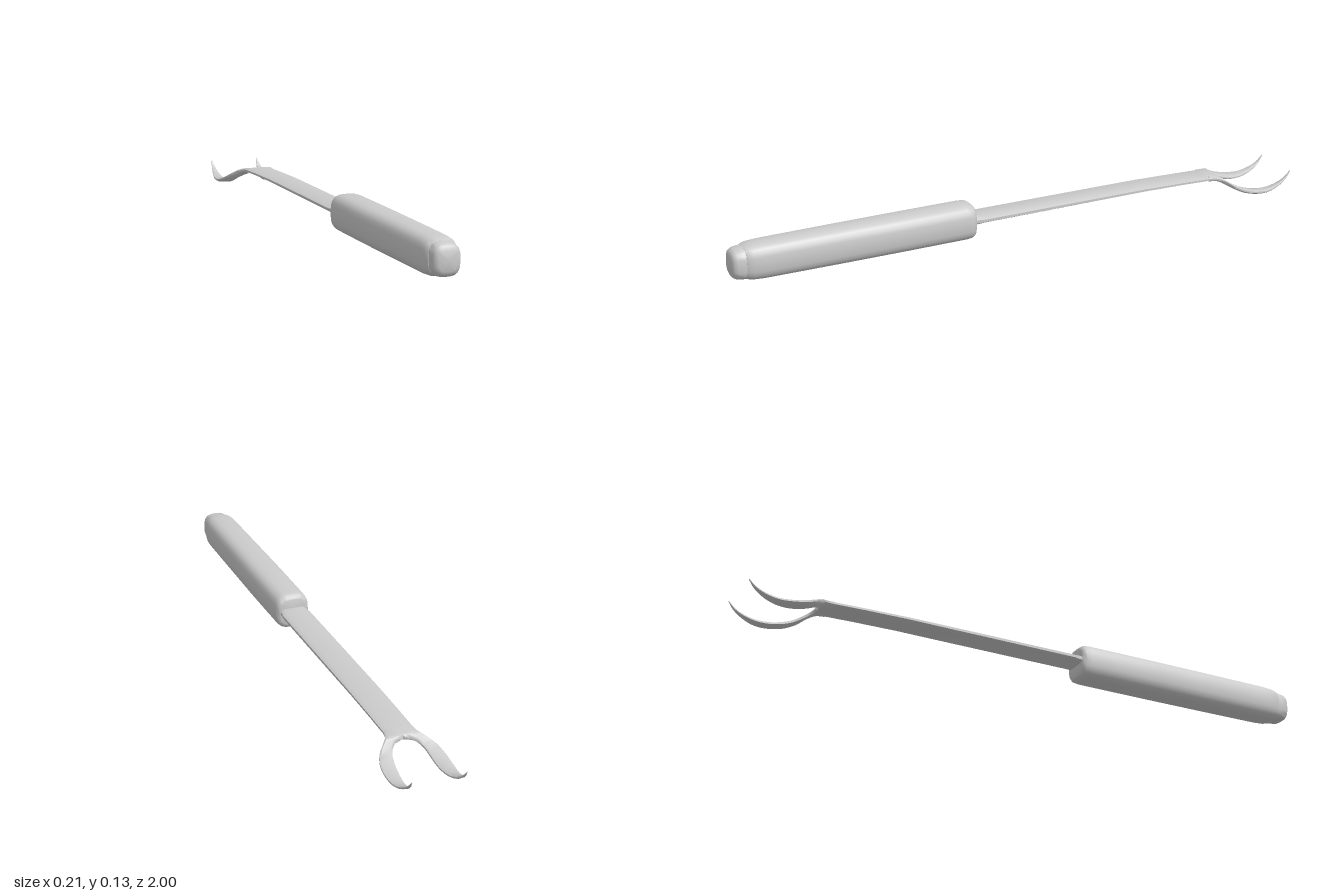
import * as THREE from 'three';
import { toCreasedNormals } from 'three/addons/utils/BufferGeometryUtils.js';

const material = new THREE.MeshStandardMaterial({ color: 0xcccccc });

// Skins a list of equal-length closed rings of Vector3 and caps both ends.
function loft(name, rings, crease) {
  const n = rings[0].length;
  const points = rings.flat();
  const index = [];
  for (let i = 0; i < rings.length - 1; i++) {
    for (let j = 0; j < n; j++) {
      const a = i * n + j, b = i * n + (j + 1) % n;
      index.push(a, b, b + n, a, b + n, a + n);
    }
  }
  const last = (rings.length - 1) * n;
  const centre = ring => ring.reduce((s, p) => s.add(p), new THREE.Vector3()).divideScalar(n);
  const start = points.push(centre(rings[0])) - 1;
  const end = points.push(centre(rings[rings.length - 1])) - 1;
  for (let j = 0; j < n; j++) {
    const k = (j + 1) % n;
    index.push(start, k, j, end, last + j, last + k);
  }
  const geometry = new THREE.BufferGeometry().setFromPoints(points);
  geometry.setIndex(index);
  const mesh = new THREE.Mesh(toCreasedNormals(geometry, crease), material);
  mesh.name = name;
  return mesh;
}

// Rounded-square ring across the handle.
function handleRing([z, halfWidth, bottom, top]) {
  const ring = [];
  const round = v => Math.sign(v) * Math.pow(Math.abs(v), 2 / 3);
  for (let j = 0; j < 24; j++) {
    const a = j / 24 * Math.PI * 2;
    ring.push(new THREE.Vector3(
      halfWidth * round(Math.cos(a)),
      (top + bottom) / 2 + (top - bottom) / 2 * round(Math.sin(a)), z));
  }
  return ring;
}

// Flat metal section from an inner to an outer edge point, with eased edges.
function stripRing(inner, outer, t, innerEdge = 0.4) {
  const at = (f, h) => inner.clone().lerp(outer, f).add(new THREE.Vector3(0, h * t, 0));
  return [at(0, innerEdge), at(0.14, 1), at(0.86, 1), at(1, 0.4),
    at(1, -0.4), at(0.86, -1), at(0.14, -1), at(0, -innerEdge)];
}

export function createModel() {
  const model = new THREE.Group();
  model.name = 'carvingFork';

  // Handle: z, half width, bottom, top
  model.add(loft('handle', [
    [0.178, 0.042, 0.026, 0.114], [0.181, 0.05, 0.018, 0.122], [0.19, 0.056, 0.012, 0.128],
    [0.21, 0.058, 0.01, 0.13], [0.45, 0.059, 0.01, 0.13], [0.65, 0.057, 0.01, 0.13],
    [0.9, 0.055, 0.011, 0.129], [0.935, 0.053, 0.013, 0.127], [0.95, 0.049, 0.016, 0.124],
    [0.957, 0.045, 0.019, 0.121],
  ].map(handleRing), 0.9));

  // Rounded butt at the end of the handle
  model.add(loft('handleButt', [
    [0.94, 0.044, 0.018, 0.122], [0.965, 0.044, 0.018, 0.12], [0.985, 0.043, 0.021, 0.117],
    [0.995, 0.038, 0.027, 0.111], [1.0, 0.028, 0.038, 0.1],
  ].map(handleRing), 0.9));

  // Flat shaft: z, half width, centre height, half thickness
  model.add(loft('shaft', [
    [0.2, 0.044, 0.072, 0.013], [0.165, 0.045, 0.072, 0.013], [0.15, 0.048, 0.072, 0.011],
    [-0.3, 0.048, 0.072, 0.01], [-0.45, 0.048, 0.072, 0.009], [-0.6, 0.048, 0.069, 0.008],
    [-0.7, 0.048, 0.066, 0.008],
  ].map(([z, w, y, t]) =>
    stripRing(new THREE.Vector3(-w, y, z), new THREE.Vector3(w, y, z), t)), 0.7));

  // Tines: inner x, y, z, then outer x, y, z
  const rows = [
    [0, 0.066, -0.7, 0.048, 0.066, -0.7],
    [0, 0.061, -0.74, 0.052, 0.064, -0.725],
    [0.028, 0.054, -0.748, 0.068, 0.056, -0.75],
    [0.05, 0.038, -0.775, 0.092, 0.038, -0.778],
    [0.058, 0.021, -0.81, 0.104, 0.023, -0.812],
    [0.063, 0.008, -0.86, 0.107, 0.012, -0.86],
    [0.069, 0.008, -0.91, 0.104, 0.01, -0.91],
    [0.076, 0.022, -0.955, 0.097, 0.024, -0.955],
    [0.081, 0.041, -0.983, 0.092, 0.042, -0.983],
    [0.085, 0.062, -1, 0.088, 0.062, -1],
  ];
  const edge = k => new THREE.CatmullRomCurve3(
    rows.map(r => new THREE.Vector3(r[k], r[k + 1], r[k + 2])));
  const innerCurve = edge(0), outerCurve = edge(3);
  const steps = 36;
  for (const side of [1, -1]) {
    const rings = [];
    for (let i = 0; i <= steps; i++) {
      const u = i / steps;
      const inner = innerCurve.getPoint(u), outer = outerCurve.getPoint(u);
      inner.x = Math.max(0, inner.x);
      const ring = stripRing(inner, outer, 0.008 - 0.006 * u * u, u < 0.12 ? 1 : 0.4);
      if (side < 0) {
        ring.forEach(p => { p.x *= -1; });
        ring.reverse();
      }
      rings.push(ring);
    }
    model.add(loft(side > 0 ? 'leftTine' : 'rightTine', rings, 0.7));
  }
  return model;
}
